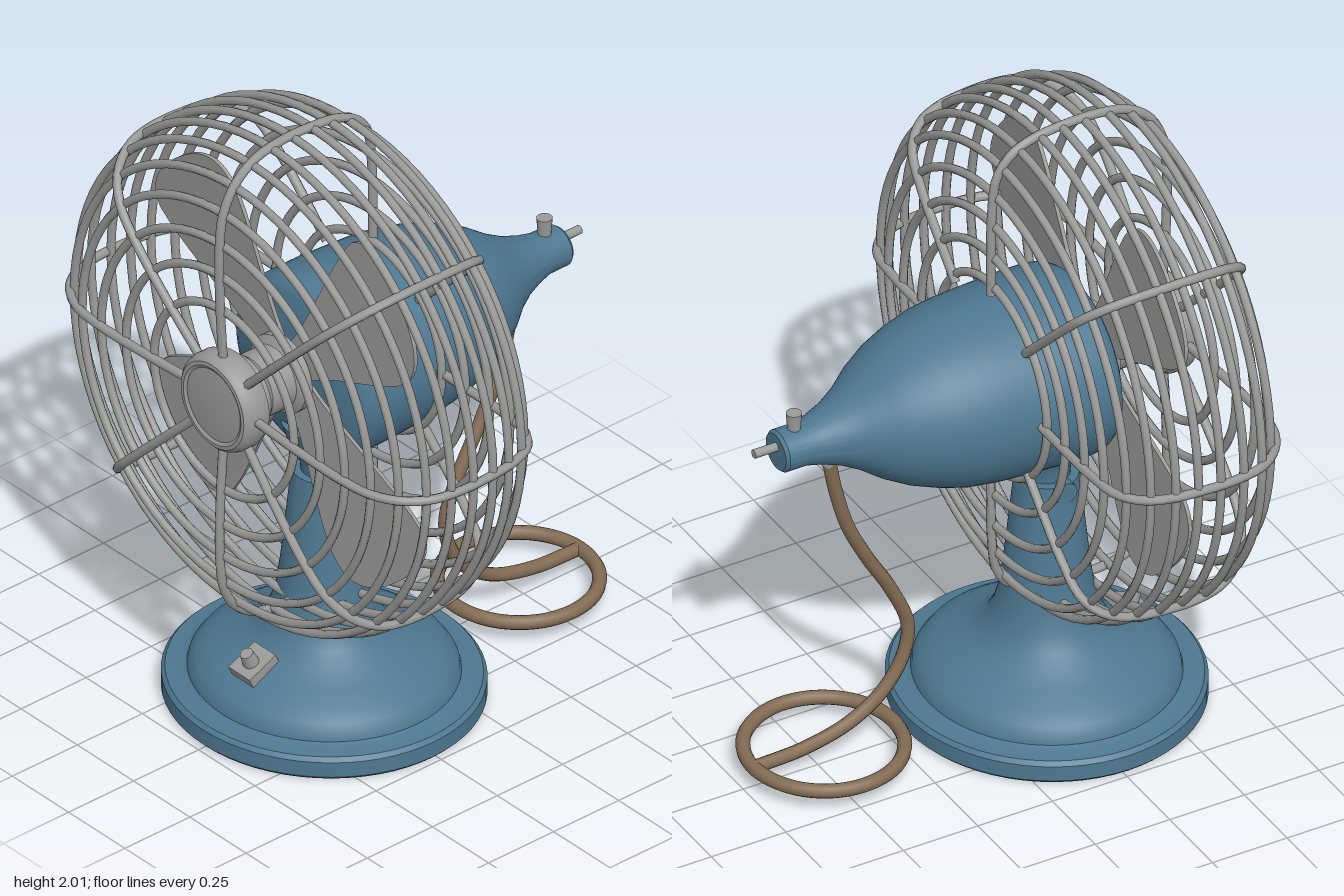
import * as THREE from 'three';
import { toCreasedNormals } from 'three/addons/utils/BufferGeometryUtils.js';

const V2 = (p) => new THREE.Vector2(p[0], p[1]);
const V3 = (p) => new THREE.Vector3(p[0], p[1], p[2]);
const AXIS_Y = 1.18;

export function createModel() {
  const group = new THREE.Group();
  const mat = (name, color) => {
    const m = new THREE.MeshStandardMaterial({ color });
    m.name = name;
    return m;
  };
  const blue = mat('blue enamel', 0x4e7891);
  const silver = mat('silver metal', 0x9a9a99);
  const brown = mat('brown cord', 0x836c54);

  const add = (name, geometry, material, pos = [0, 0, 0], parent = group) => {
    const mesh = new THREE.Mesh(geometry, material);
    mesh.name = name;
    mesh.position.set(...pos);
    parent.add(mesh);
    return mesh;
  };
  const lathe = (points, segments = 48) =>
    toCreasedNormals(new THREE.LatheGeometry(points.map(V2), segments), 0.6);
  // Lathe turned so that its axis runs along z; points are [radius, z]
  const latheZ = (points, segments = 48) => lathe(points, segments).rotateX(Math.PI / 2);
  const tube = (points, radius, steps, closed = false, sides = 7) =>
    new THREE.TubeGeometry(new THREE.CatmullRomCurve3(points.map(V3), closed), steps, radius, sides, closed);

  // Slightly oval base with stepped rim, dome and tapering column
  const base = add('base', lathe([
    [0, 0], [0.475, 0], [0.487, 0.012], [0.487, 0.062], [0.475, 0.075], [0.425, 0.078],
    [0.41, 0.085], [0.405, 0.105], [0.385, 0.132], [0.345, 0.16], [0.29, 0.187], [0.235, 0.215],
    [0.19, 0.255], [0.163, 0.305], [0.145, 0.37], [0.132, 0.46], [0.115, 0.62], [0.098, 0.78], [0, 0.78],
  ], 64), blue, [0, 0, 0.267]);
  base.scale.z = 0.957;

  // Tilting neck joint between column and motor
  add('neck', lathe([[0, 0.72], [0.07, 0.72], [0.072, 0.8], [0.085, 0.85], [0.115, 0.9], [0.13, 0.95], [0, 0.97]], 32),
    blue, [0, 0, 0.265]);
  for (const s of [-1, 1]) {
    const bolt = add('neckBolt', new THREE.CylinderGeometry(0.035, 0.035, 0.05, 20), blue, [s * 0.08, 0.755, 0.275]);
    bolt.rotation.z = Math.PI / 2;
  }

  // Switch on the front of the base
  const toggle = new THREE.Group();
  toggle.name = 'switch';
  toggle.position.set(0, 0.2, 0.535);
  toggle.rotation.x = 0.42;
  group.add(toggle);
  add('switchPlate', new THREE.BoxGeometry(0.095, 0.045, 0.11), silver, [0, 0, 0], toggle);
  add('switchLever', new THREE.CylinderGeometry(0.02, 0.026, 0.05, 14), silver, [0, 0.04, 0.005], toggle);

  // Teardrop motor housing
  const motor = add('motorHousing', latheZ([
    [0, -0.64], [0.06, -0.64], [0.068, -0.63], [0.068, -0.56], [0.08, -0.51], [0.102, -0.45], [0.136, -0.39],
    [0.185, -0.325], [0.228, -0.25], [0.26, -0.17], [0.283, -0.09], [0.295, 0], [0.3, 0.08],
    [0.306, 0.2], [0.306, 0.3], [0.3, 0.335], [0.285, 0.358], [0.262, 0.37], [0, 0.37],
  ], 64), blue, [0, 1.162, 0]);
  motor.scale.y = 0.95;

  // Small fittings on the housing
  add('oscillatorKnob', new THREE.CylinderGeometry(0.024, 0.018, 0.08, 16), silver, [0, 1.24, -0.58]);
  add('rearRod', new THREE.CylinderGeometry(0.014, 0.014, 0.1, 12).rotateX(Math.PI / 2), silver, [0, 1.18, -0.665]);
  add('lowerScrew', new THREE.CylinderGeometry(0.024, 0.024, 0.05, 16), silver, [0, 0.872, -0.02]);
  add('cordSocket', new THREE.CylinderGeometry(0.024, 0.02, 0.06, 14), silver, [0, 1.085, -0.465]);

  // Propeller: hub, shaft and four nearly flat blades
  const fan = new THREE.Group();
  fan.name = 'propeller';
  fan.position.set(0, AXIS_Y, 0);
  group.add(fan);
  add('hub', latheZ([[0, 0.36], [0.06, 0.36], [0.065, 0.41], [0.125, 0.42], [0.125, 0.445], [0.1, 0.46],
    [0.1, 0.55], [0.115, 0.57], [0.115, 0.61], [0, 0.61]], 36), silver, [0, 0, 0], fan);
  const outline = new THREE.Shape();
  outline.moveTo(0.06, -0.06);
  outline.bezierCurveTo(0.2, -0.08, 0.34, -0.17, 0.5, -0.215);
  outline.bezierCurveTo(0.62, -0.24, 0.67, -0.17, 0.69, -0.06);
  outline.bezierCurveTo(0.71, 0.08, 0.7, 0.2, 0.6, 0.215);
  outline.bezierCurveTo(0.45, 0.2, 0.25, 0.09, 0.06, 0.06);
  const bladeGeo = new THREE.ExtrudeGeometry(outline, { depth: 0.012, bevelEnabled: false, curveSegments: 10 });
  bladeGeo.translate(0, 0, -0.006).rotateX(-0.06);
  for (let i = 0; i < 4; i++) {
    const blade = add('blade', bladeGeo, silver, [0, 0, 0.405], fan);
    blade.rotation.z = Math.PI / 4 + i * Math.PI / 2;
  }

  // Wire guard
  const cage = new THREE.Group();
  cage.name = 'guard';
  cage.position.set(0, AXIS_Y, 0);
  group.add(cage);
  add('badge', latheZ([[0, 0.595], [0.125, 0.595], [0.148, 0.605], [0.158, 0.63], [0.158, 0.665], [0.152, 0.685],
    [0.14, 0.697], [0.128, 0.698], [0.118, 0.692], [0.1, 0.694], [0, 0.7]], 48), silver, [0, 0, 0], cage);

  // Eight ribs running from the badge round to the motor
  const ribProfile = [[0.14, 0.655], [0.35, 0.667], [0.54, 0.669], [0.65, 0.655], [0.735, 0.61], [0.79, 0.535],
    [0.81, 0.44], [0.81, 0.33], [0.797, 0.225], [0.765, 0.15], [0.7, 0.1], [0.58, 0.083], [0.45, 0.08], [0.29, 0.08]];
  const ribGeo = tube(ribProfile.map(([r, z]) => [r, 0, z]), 0.0145, 56);
  for (let i = 0; i < 8; i++) add('guardRib', ribGeo, silver, [0, 0, 0], cage).rotation.z = i * Math.PI / 4;

  // Rings as [radius, z]: front face, rim, back face
  const rings = [
    [0.31, 0.652], [0.43, 0.656], [0.54, 0.656], [0.64, 0.643], [0.72, 0.605],
    [0.775, 0.545], [0.8, 0.47], [0.805, 0.39], [0.805, 0.315], [0.795, 0.245], [0.77, 0.175],
    [0.72, 0.122], [0.63, 0.098], [0.53, 0.09], [0.42, 0.088], [0.315, 0.088],
  ];
  for (const [r, z] of rings) add('guardRing', new THREE.TorusGeometry(r, 0.0135, 7, 72), silver, [0, 0, z], cage);

  // Power cord hanging from the motor, ending in a coil on the ground
  add('cord', tube([[0, 1.08, -0.465], [0, 0.96, -0.442], [0, 0.82, -0.402], [0, 0.68, -0.335], [0, 0.54, -0.255],
    [0, 0.4, -0.2], [0, 0.29, -0.215], [0, 0.19, -0.28], [0, 0.115, -0.39], [0, 0.075, -0.54], [0, 0.065, -0.71]],
    0.021, 70, false, 9), brown);
  const coil = [];
  for (let i = 0; i < 16; i++) {
    const a = (i / 16) * Math.PI * 2;
    coil.push([0.238 * Math.sin(a), 0.065, -0.48 + 0.235 * Math.cos(a)]);
  }
  add('cordCoil', tube(coil, 0.022, 72, true, 9), brown);

  return group;
}
